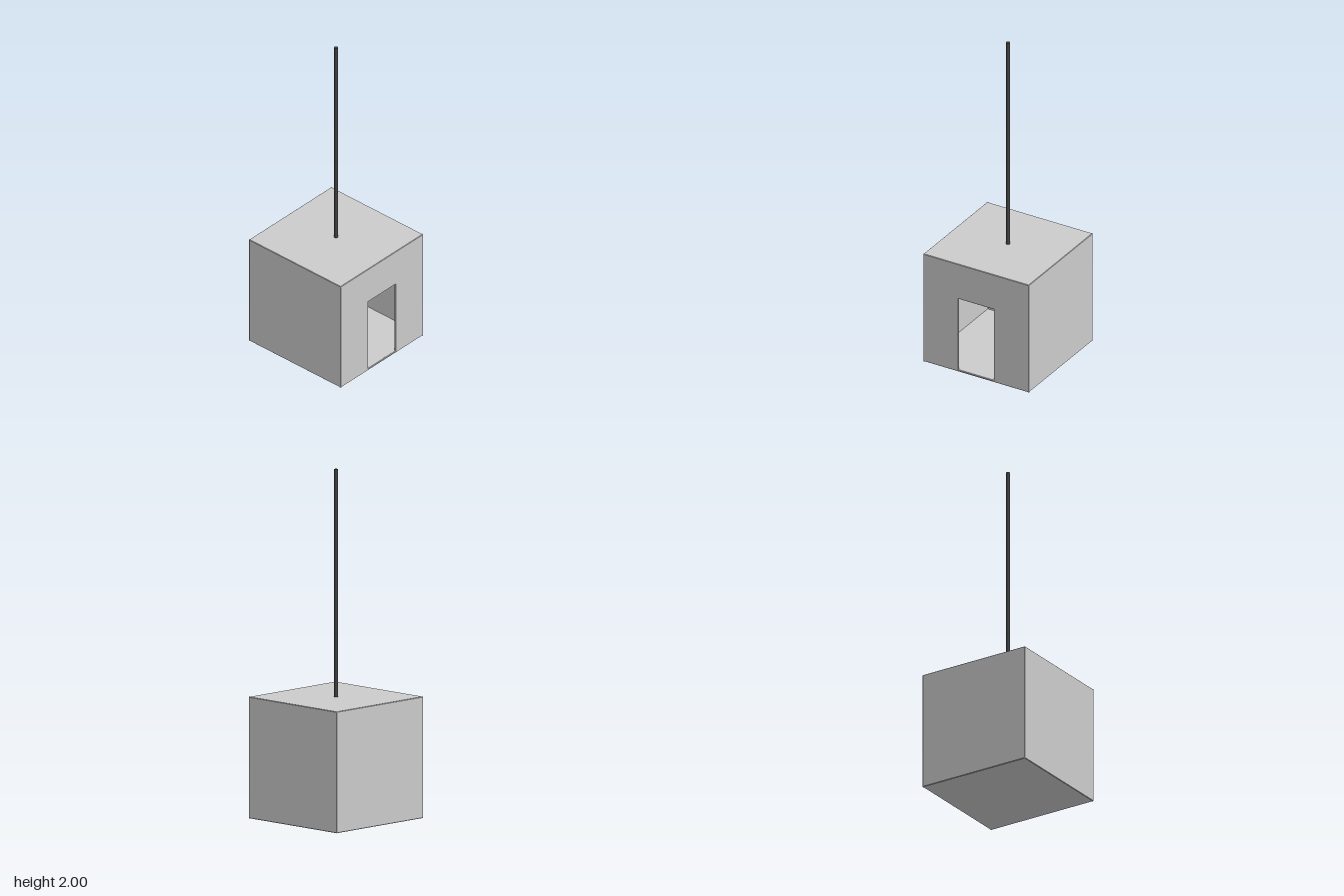
import * as THREE from 'three';

const SIZE = 0.696, HALF = SIZE / 2, WALL = 0.01, BEVEL = 0.003;

export function createModel() {
  const model = new THREE.Group();
  const grey = new THREE.MeshStandardMaterial({ color: 0xcccccc, flatShading: true });
  const dark = new THREE.MeshStandardMaterial({ color: 0x444444 });

  // Rectangle outline, centred on x
  const trace = (path, w, y0, y1) => path
    .moveTo(-w, y0).lineTo(w, y0).lineTo(w, y1).lineTo(-w, y1).closePath();

  // Thin square panel with chamfered edges, outer face at z = HALF
  function panelGeometry(hole) {
    const shape = trace(new THREE.Shape(), HALF, -HALF, HALF);
    if (hole) shape.holes.push(hole);
    return new THREE.ExtrudeGeometry(shape, {
      depth: WALL - 2 * BEVEL, bevelEnabled: true, bevelThickness: BEVEL,
      bevelSize: BEVEL, bevelOffset: -BEVEL, bevelSegments: 1,
    }).translate(0, 0, HALF - WALL + BEVEL);
  }

  // Hollow cube: front with doorway, five plain panels
  const house = new THREE.Group();
  house.name = 'house';
  house.position.y = HALF;
  const doorway = trace(new THREE.Path(), 0.116, 0.012 - HALF, 0.471 - HALF);
  const plain = panelGeometry();
  const panels = [
    ['frontWall', 0, 0], ['backWall', 0, Math.PI],
    ['leftWall', 0, Math.PI / 2], ['rightWall', 0, -Math.PI / 2],
    ['roof', -Math.PI / 2, 0], ['floor', Math.PI / 2, 0],
  ];
  for (const [name, rx, ry] of panels) {
    const mesh = new THREE.Mesh(name === 'frontWall' ? panelGeometry(doorway) : plain, grey);
    mesh.name = name;
    mesh.rotation.set(rx, ry, 0);
    house.add(mesh);
  }
  model.add(house);

  // Tall pole standing on the middle of the roof
  const base = SIZE - WALL / 2;
  const pole = new THREE.Mesh(new THREE.CylinderGeometry(0.011, 0.011, 2 - base, 32), dark);
  pole.name = 'pole';
  pole.position.y = (2 + base) / 2;
  model.add(pole);

  return model;
}
